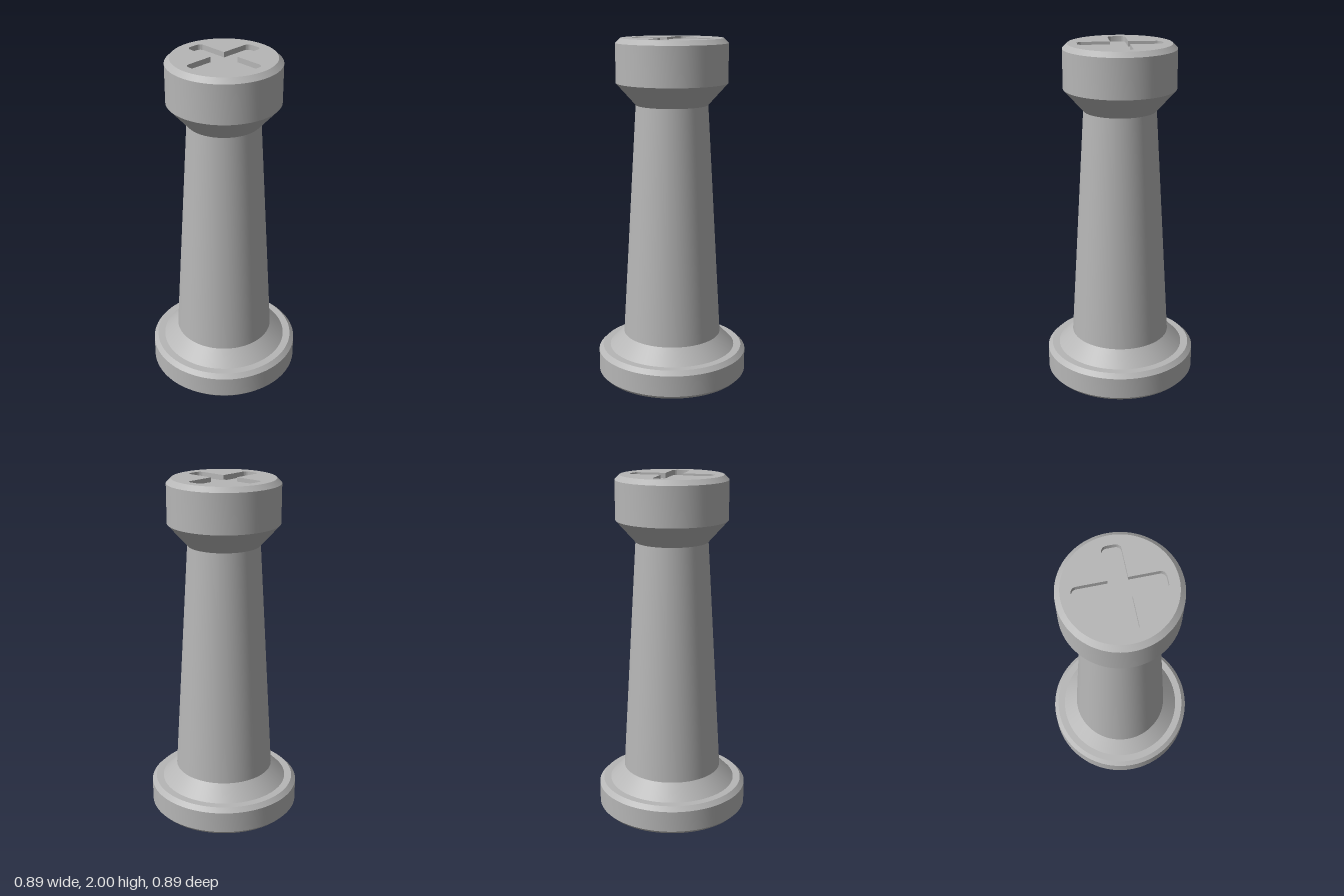
import * as THREE from 'three';
import { toCreasedNormals } from 'three/addons/utils/BufferGeometryUtils.js';

const TOP = 2, DEPTH = 0.03, TOP_RADIUS = 0.292;

// Plus-shaped outline with rounded arm ends and sharp inner corners
function crossPath(path, reach = 0.237, half = 0.051, r = 0.03) {
  for (let i = 0; i < 4; i++) {
    const a = i * Math.PI / 2, c = Math.cos(a), s = Math.sin(a);
    const at = (x, y) => [x * c - y * s, x * s + y * c];
    if (i === 0) path.moveTo(...at(half, -half));
    path.lineTo(...at(reach - r, -half));
    path.absarc(...at(reach - r, -half + r), r, a - Math.PI / 2, a, false);
    path.absarc(...at(reach - r, half - r), r, a, a + Math.PI / 2, false);
    path.lineTo(...at(half, half));
  }
  return path;
}

// Vertical walls of the recess, facing inward
function recessWalls(points) {
  const pos = [];
  points.forEach((p, i) => {
    const q = points[(i + 1) % points.length];
    if (p.distanceTo(q) < 1e-6) return;
    const lo = TOP - DEPTH;
    pos.push(p.x, TOP, -p.y, q.x, TOP, -q.y, q.x, lo, -q.y);
    pos.push(p.x, TOP, -p.y, q.x, lo, -q.y, p.x, lo, -p.y);
  });
  const geo = new THREE.BufferGeometry();
  geo.setAttribute('position', new THREE.Float32BufferAttribute(pos, 3));
  geo.computeVertexNormals();
  return toCreasedNormals(geo, 0.6);
}

export function createModel() {
  const group = new THREE.Group();
  const grey = new THREE.MeshStandardMaterial({ color: 0xb6b6b6 });
  grey.name = 'plain grey';
  grey.side = THREE.DoubleSide;
  const add = (name, geo) => {
    const mesh = new THREE.Mesh(geo, grey);
    mesh.name = name;
    group.add(mesh);
    return mesh;
  };
  const turned = (name, profile) => add(name, toCreasedNormals(
    new THREE.LatheGeometry(profile.map(([r, y]) => new THREE.Vector2(r, y)), 96), 0.3));

  // Turned body in three stacked parts
  turned('base', [[0, 0], [0.424, 0], [0.443, 0.02], [0.443, 0.145],
    [0.418, 0.17], [0.375, 0.17], [0.29, 0.255]]);
  turned('shaft', [[0.29, 0.255], [0.208, 1.625]]);
  turned('head', [[0.208, 1.625], [0.32, 1.75], [0.32, 1.973], [TOP_RADIUS, TOP]]);

  // Flat top with a plus-shaped recess
  const face = new THREE.Shape().absarc(0, 0, TOP_RADIUS, 0, Math.PI * 2, false);
  face.holes.push(crossPath(new THREE.Path()));
  add('topFace', new THREE.ShapeGeometry(face, 48).rotateX(-Math.PI / 2).translate(0, TOP, 0));

  const cross = crossPath(new THREE.Shape());
  add('recessFloor', new THREE.ShapeGeometry(cross, 8)
    .rotateX(-Math.PI / 2).translate(0, TOP - DEPTH, 0));
  add('recessWalls', recessWalls(cross.getPoints(8)));

  return group;
}
